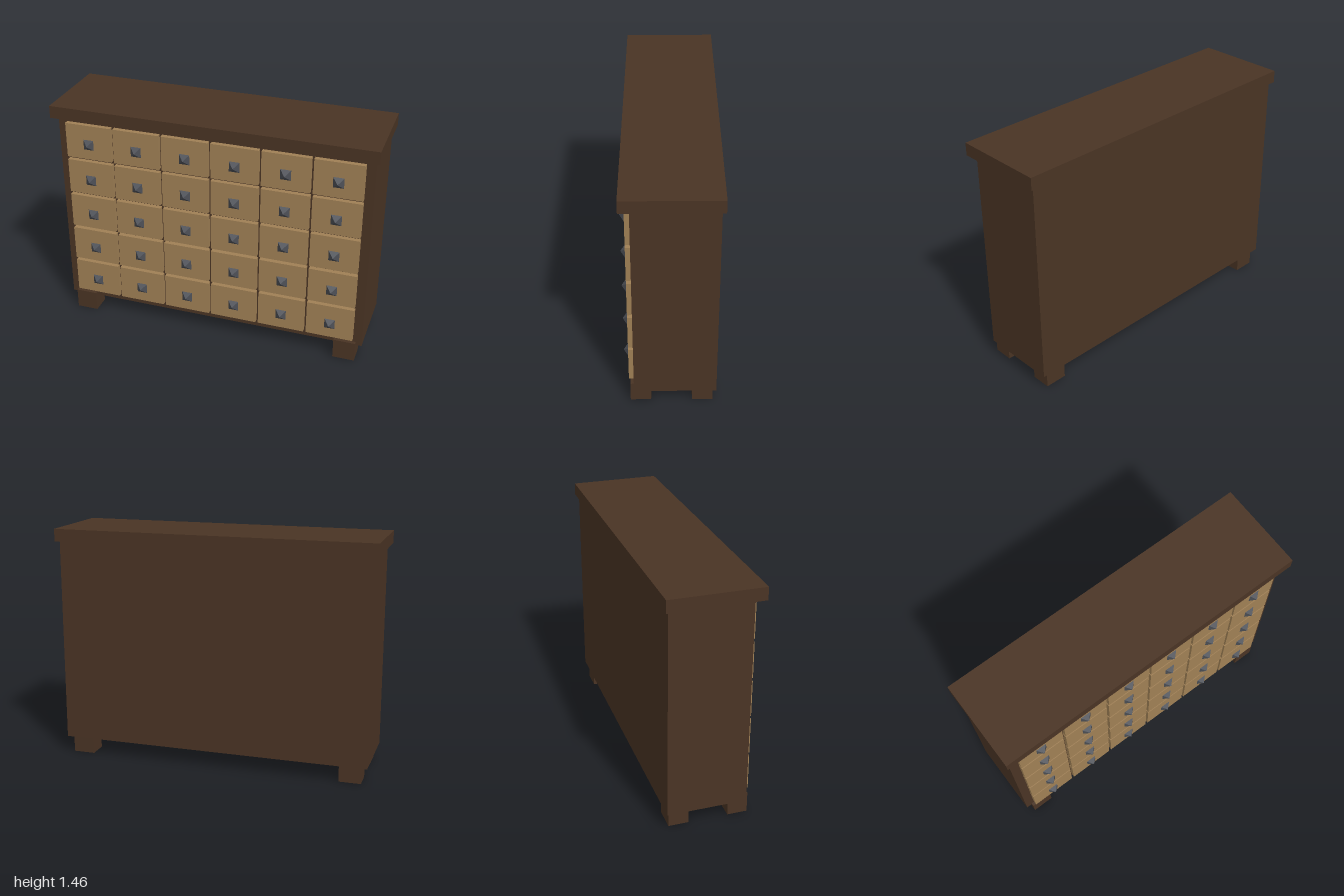
import * as THREE from 'three';

export function createModel() {
  const cabinet = new THREE.Group();
  cabinet.name = 'apothecaryCabinet';

  const darkWood = new THREE.MeshStandardMaterial({ name: 'darkWood', color: 0x4a3424 });
  const lightWood = new THREE.MeshStandardMaterial({ name: 'lightWood', color: 0xa08055 });
  const iron = new THREE.MeshStandardMaterial({ name: 'iron', color: 0x4d5057 });

  const add = (parent, name, geometry, material, x, y, z) => {
    const mesh = new THREE.Mesh(geometry, material);
    mesh.name = name;
    mesh.position.set(x, y, z);
    parent.add(mesh);
    return mesh;
  };

  // Carcass and overhanging top
  add(cabinet, 'body', new THREE.BoxGeometry(1.95, 1.275, 0.48), darkWood, 0, 0.7425, -0.02);
  add(cabinet, 'topBoard', new THREE.BoxGeometry(2, 0.077, 0.56), darkWood, 0, 1.4165, 0);

  // Four block feet; the front pair stands slightly proud of the carcass
  const footGeometry = new THREE.BoxGeometry(0.136, 0.127, 0.121);
  for (const [side, sx] of [['left', 1], ['right', -1]]) {
    for (const [end, z] of [['Front', 0.1815], ['Back', -0.1805]]) {
      add(cabinet, `${side}${end}Foot`, footGeometry, darkWood, sx * 0.87, 0.0635, z);
    }
  }

  // Drawer fronts, each with a pyramid knob
  const drawerGeometry = new THREE.BoxGeometry(0.293, 0.223, 0.03);
  let knobGeometry = new THREE.ConeGeometry(0.0325 * Math.SQRT2, 0.032, 4);
  knobGeometry.rotateY(Math.PI / 4).rotateX(Math.PI / 2);
  knobGeometry = knobGeometry.toNonIndexed();
  knobGeometry.computeVertexNormals();

  const columns = 6, rows = 5;
  for (let row = 0; row < rows; row++) {
    for (let column = 0; column < columns; column++) {
      const drawer = new THREE.Group();
      drawer.name = `drawer_${row + 1}_${column + 1}`;
      drawer.position.set((column - (columns - 1) / 2) * 0.309, 0.262 + row * 0.2425, 0.235);
      add(drawer, 'drawerFront', drawerGeometry, lightWood, 0, 0, 0);
      add(drawer, 'knob', knobGeometry, iron, 0, -0.0155, 0.031);
      cabinet.add(drawer);
    }
  }

  return cabinet;
}
